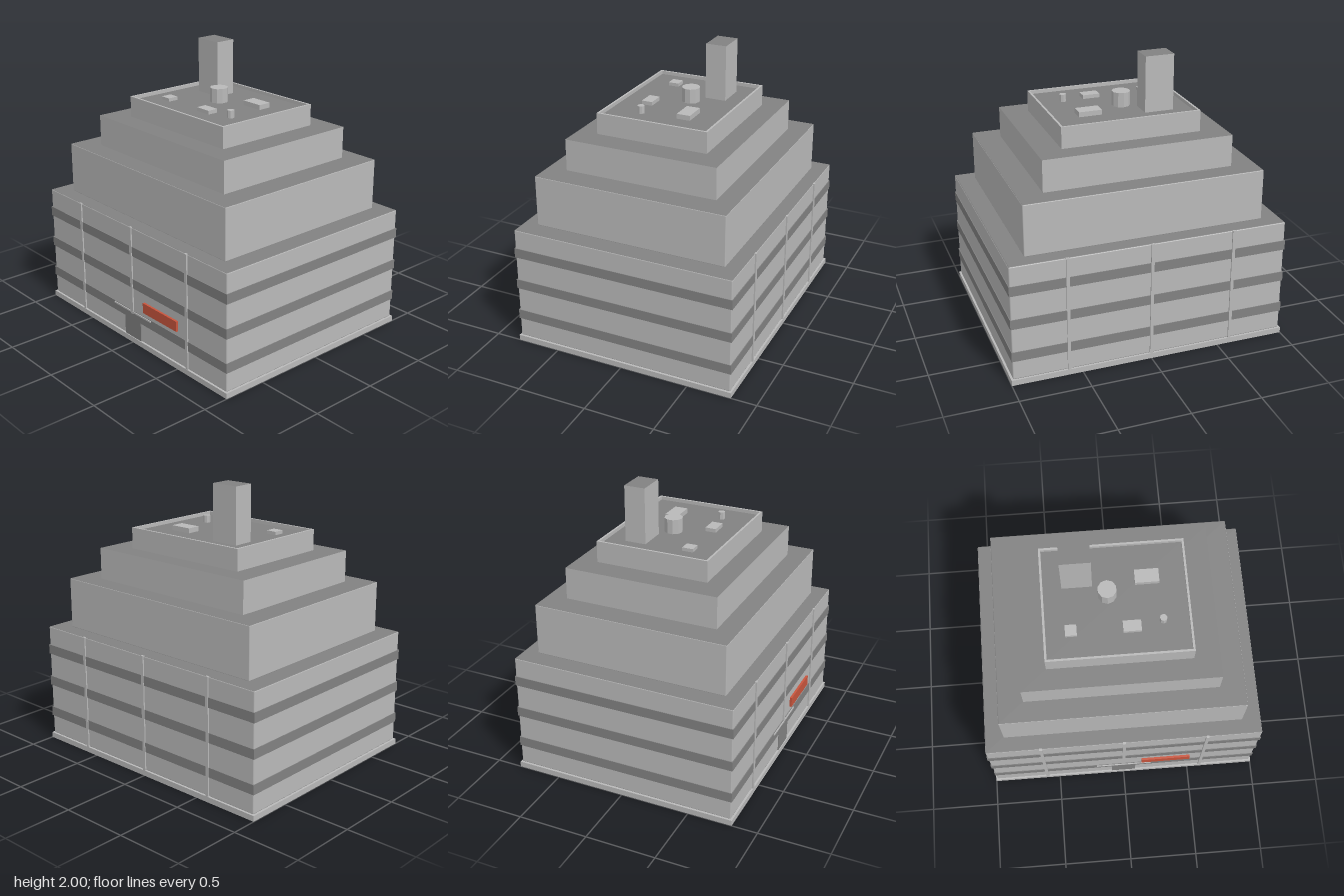
import * as THREE from 'three';
import { RoundedBoxGeometry } from 'three/addons/geometries/RoundedBoxGeometry.js';

export function createModel() {
  const model = new THREE.Group();
  model.name = 'steppedBuilding';
  const mat = (name, color) => {
    const m = new THREE.MeshStandardMaterial({ color });
    m.name = name;
    return m;
  };
  const wall = mat('pale grey wall', 0xb9b9b9);
  const dark = mat('dark grey glass and roofing', 0x828282);
  const red = mat('red sign', 0xc8553d);
  const roofed = [wall, wall, dark, wall, wall, wall];

  const add = (name, geometry, material, x, y, z) => {
    const mesh = new THREE.Mesh(geometry, material);
    mesh.name = name;
    mesh.position.set(x, y, z);
    model.add(mesh);
    return mesh;
  };
  // Box given by its extents on each axis
  const box = (name, [x0, x1], [y0, y1], [z0, z1], material = wall, bevel = 0) => {
    const size = [x1 - x0, y1 - y0, z1 - z0];
    const geo = bevel
      ? new RoundedBoxGeometry(...size, 1, bevel)
      : new THREE.BoxGeometry(...size);
    return add(name, geo, material, (x0 + x1) / 2, (y0 + y1) / 2, (z0 + z1) / 2);
  };
  const both = (v) => [-v, v];

  // Plinth and stepped storeys
  box('plinth', both(1), [0, 0.04], both(0.817));
  box('lowerBlock', both(0.988), [0.04, 0.88], both(0.806), roofed, 0.008);
  box('secondTier', both(0.855), [0.88, 1.248], both(0.7), roofed, 0.006);
  box('thirdTier', both(0.676), [0.88, 1.475], both(0.555), roofed);
  box('topTier', both(0.498), [1.47, 1.602], both(0.408), roofed);

  // Parapet ring around the top roof
  const rect = (Type, x, z) => new Type([
    new THREE.Vector2(-x, -z), new THREE.Vector2(x, -z),
    new THREE.Vector2(x, z), new THREE.Vector2(-x, z),
  ]);
  const ring = rect(THREE.Shape, 0.498, 0.408);
  ring.holes.push(rect(THREE.Path, 0.483, 0.393));
  const ringGeo = new THREE.ExtrudeGeometry(ring, { depth: 0.025, bevelEnabled: false });
  ringGeo.rotateX(-Math.PI / 2);
  add('parapet', ringGeo, wall, 0, 1.602, 0);

  // Window bands wrapping the lower block
  for (const y of [0.18, 0.425, 0.67]) {
    box('windowBand', both(0.993), [y, y + 0.07], both(0.811), dark);
  }

  // Vertical ribs, front and back
  for (const x of [-0.595, 0, 0.595]) {
    for (const side of [-1, 1]) {
      const bottom = x === 0 && side === 1 ? 0.225 : 0.04;
      const z = side === 1 ? [0.8, 0.816] : [-0.816, -0.8];
      box('facadeRib', [x - 0.011, x + 0.011], [bottom, 0.882], z);
    }
  }

  // Entrance and sign
  box('door', [-0.09, 0.09], [0.04, 0.2], [0.803, 0.811], dark);
  box('canopy', both(0.208), [0.235, 0.246], [0.8, 0.818]);
  box('sign', [0.135, 0.5], [0.285, 0.36], [0.8, 0.822], red);

  // Rooftop tower and equipment
  const roof = 1.6;
  box('rooftopTower', [-0.356, -0.149], [roof, 2], [-0.262, -0.111], roofed);
  box('ventBox', [0.14, 0.305], [roof, 1.637], [-0.197, -0.1]);
  box('ventBox', [0.035, 0.158], [roof, 1.629], [0.16, 0.238]);
  box('ventBox', [-0.352, -0.274], [roof, 1.626], [0.16, 0.238]);
  const cylinder = (name, r, top, sides, x, z) => {
    const geo = new THREE.CylinderGeometry(r, r, top - roof, sides).toNonIndexed();
    geo.computeVertexNormals();
    add(name, geo, wall, x, (top + roof) / 2, z);
  };
  cylinder('waterTank', 0.065, 1.705, 10, -0.053, -0.042);
  cylinder('ventPipe', 0.025, 1.655, 8, 0.307, 0.168);

  return model;
}
